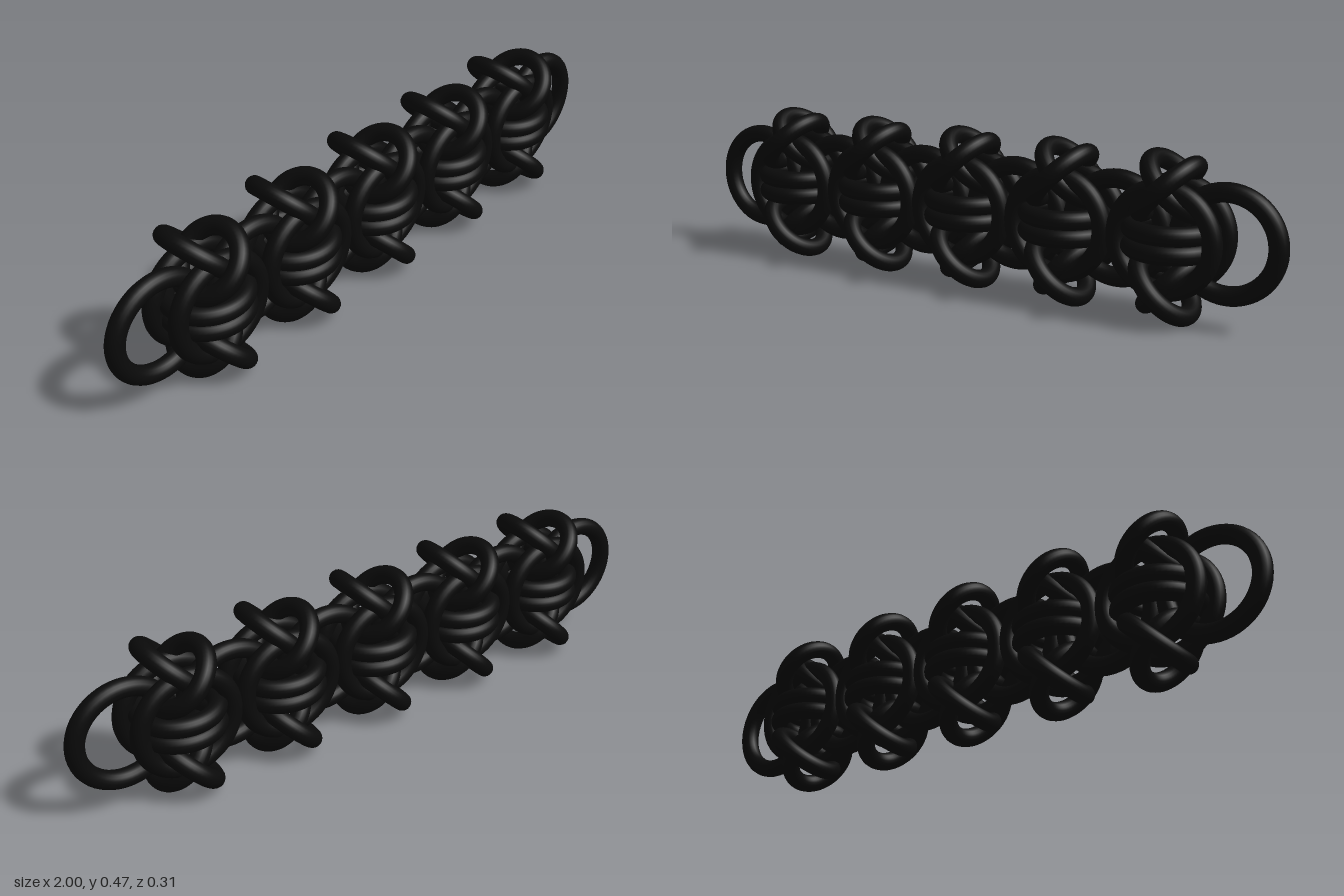
import * as THREE from 'three';

const TUBE = 0.028;      // wire radius shared by all rings
const PITCH = 0.331;     // distance between knots
const MID = 0.2375;      // height of the chain axis

export function createModel() {
  const model = new THREE.Group();
  const material = new THREE.MeshStandardMaterial({ color: 0x0a0a0a });
  const ringShape = (radius) => new THREE.TorusGeometry(radius, TUBE, 20, 56);
  const large = ringShape(0.144);
  const medium = ringShape(0.112);
  const small = ringShape(0.099);

  function addRing(parent, name, geometry, x, y, z) {
    const ring = new THREE.Mesh(geometry, material);
    ring.name = name;
    ring.position.set(x, y, z);
    parent.add(ring);
    return ring;
  }

  // Flat link rings along the axis, joining the knots
  for (let i = 0; i < 6; i++) {
    addRing(model, 'linkRing', large, (i - 2.5) * PITCH, MID, 0);
  }

  // Five knots of interlocked rings
  for (let i = 0; i < 5; i++) {
    const knot = new THREE.Group();
    knot.name = 'knot';
    knot.position.set((i - 2) * PITCH, MID, 0);
    model.add(knot);

    for (const s of [-1, 1]) {
      // Upright rings sandwiching the links front and back
      addRing(knot, 'uprightRing', large, 0, 0, s * 0.054);

      // Level rings wrapped around the waist
      const waist = addRing(knot, 'waistRing', medium, 0, s * 0.026, 0);
      waist.rotation.x = Math.PI / 2;

      // Crossed pair of tilted rings above and below
      for (const t of [-1, 1]) {
        const cross = addRing(knot, 'crossedRing', small, 0, s * 0.139, t * 0.027);
        cross.rotation.set(Math.PI / 2, s * t * Math.PI / 4, 0);
      }
    }
  }
  return model;
}
